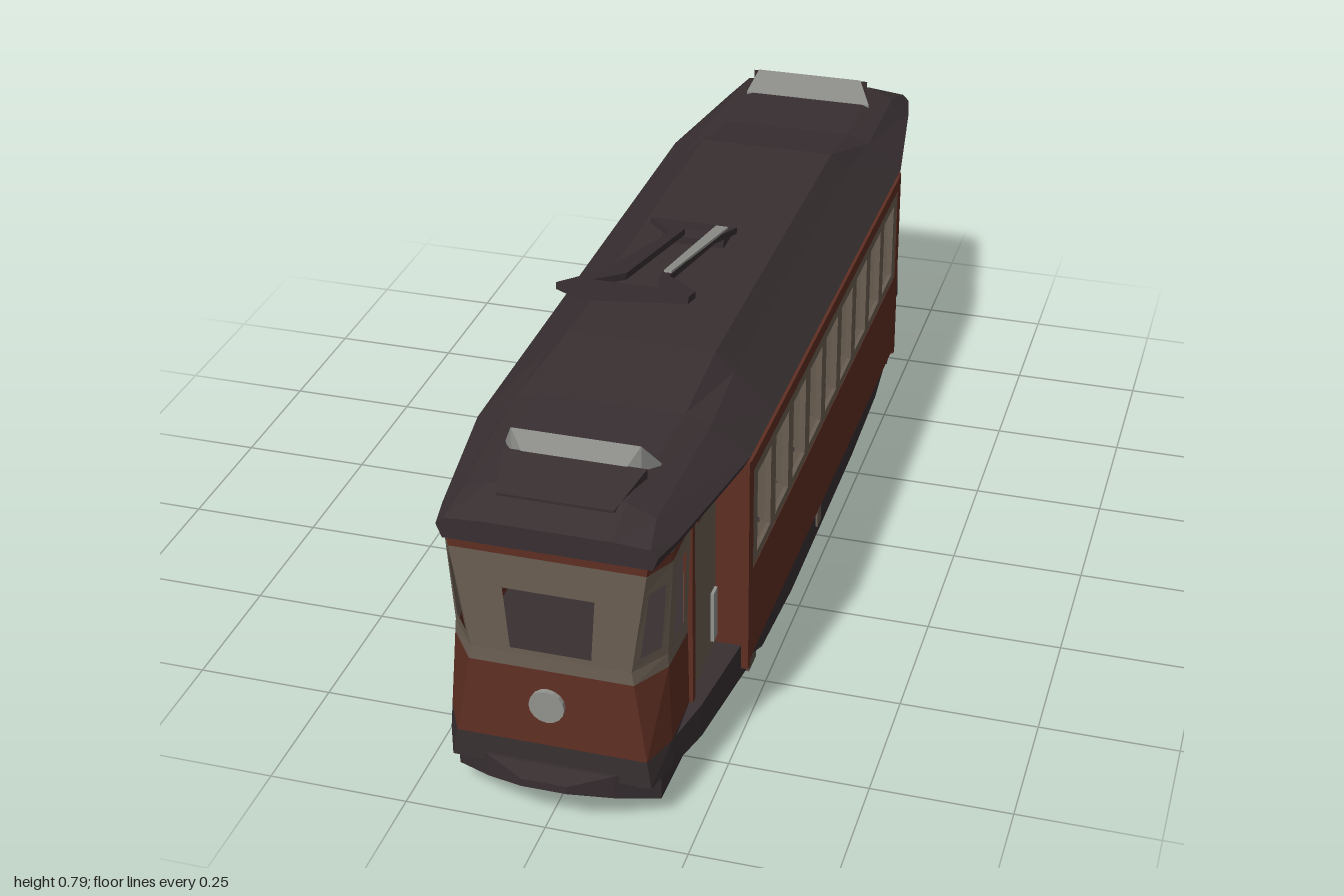
import * as THREE from 'three';

const mat = (name, color) => Object.assign(
  new THREE.MeshStandardMaterial({ color, flatShading: true, side: THREE.DoubleSide }), { name });
const mix = THREE.MathUtils.lerp;

export function createModel() {
  const tram = new THREE.Group();
  tram.name = 'tram';
  const dark = mat('dark roof', 0x382f31);
  const red = mat('rust red', 0x5e2e22);
  const beige = mat('dull beige', 0x6a5e52);
  const grey = mat('light grey', 0x93938f);
  const under = mat('underframe brown', 0x5a5046);

  function add(name, geometry, material) {
    const mesh = new THREE.Mesh(geometry, material);
    mesh.name = name;
    tram.add(mesh);
    return mesh;
  }

  function box(name, w, h, d, x, y, z, material) {
    const mesh = add(name, new THREE.BoxGeometry(w, h, d), material);
    mesh.position.set(x, y, z);
    return mesh;
  }

  function indexed(name, pos, idx, material) {
    const g = new THREE.BufferGeometry();
    g.setAttribute('position', new THREE.Float32BufferAttribute(pos, 3));
    g.setIndex(idx);
    g.computeVertexNormals();
    return add(name, g, material);
  }

  // Closed loft through rings [z, [[x, y], ...]], points anticlockwise seen from +z
  function loft(name, rings, material) {
    const sorted = [...rings].sort((a, b) => a[0] - b[0]);
    const n = sorted[0][1].length, pos = [], idx = [];
    for (const [z, pts] of sorted) for (const [x, y] of pts) pos.push(x, y, z);
    for (let i = 0; i < sorted.length - 1; i++) {
      for (let j = 0; j < n; j++) {
        const a = i * n + j, b = i * n + (j + 1) % n;
        idx.push(a, b, b + n, a, b + n, a + n);
      }
    }
    const last = (sorted.length - 1) * n;
    for (let j = 1; j < n - 1; j++) idx.push(0, j + 1, j, last, last + j, last + j + 1);
    return indexed(name, pos, idx, material);
  }

  // Roof: [z, edge half width, edge y, shoulder half width, shoulder y, top half width, top y]
  const roofHalf = [
    [0.947, 0.188, 0.54, 0.175, 0.553, 0.11, 0.557],
    [0.88, 0.202, 0.537, 0.165, 0.57, 0.115, 0.59],
    [0.6, 0.245, 0.535, 0.175, 0.585, 0.13, 0.6],
    [0.43, 0.245, 0.535, 0.17, 0.597, 0.135, 0.63],
  ];
  const roofRing = ([z, e, ey, m, my, t, ty]) => [z, [
    [-e + 0.01, 0.515], [e - 0.01, 0.515], [e, ey], [m, my], [t, ty], [-t, ty], [-m, my], [-e, ey]]];
  loft('roof', [...roofHalf, ...roofHalf.map(r => [-r[0], ...r.slice(1)])].map(roofRing), dark);

  // Saloon sides with nine windows each
  for (const s of [-1, 1]) {
    const x = s * 0.238;
    box('sidePanel', 0.014, 0.18, 1.2, x, 0.205, 0, red);
    box('sideTopRail', 0.014, 0.026, 1.2, x, 0.508, 0, red);
    box('windowSill', 0.012, 0.02, 1.16, x, 0.303, 0, beige);
    box('windowHeader', 0.012, 0.025, 1.16, x, 0.486, 0, beige);
    for (const z of [0.59, -0.59]) box('cornerPost', 0.014, 0.41, 0.024, x, 0.315, z, red);
    for (let i = 0; i <= 9; i++) {
      const z = -0.565 + i * 0.1255;
      box('windowPillar', 0.02, 0.17, 0.034, x - s * 0.004, 0.393, z, beige);
      if (i === 9) continue;
      // Folded reveals leaning into the saloon below and above each opening
      const a = z + 0.015, b = z + 0.11, k = i % 2 ? 0.02 : 0.07;
      indexed('windowReveal', [
        x, 0.312, a, x, 0.312, b, x - s * 0.06, 0.35, a + k,
        x, 0.475, a, x, 0.475, b, x - s * 0.05, 0.435, b - k,
        x, 0.312, b, x, 0.475, b, x - s * 0.05, 0.4, b - 0.035,
        x, 0.312, a, x, 0.475, a, x - s * 0.07, 0.37, a + 0.025,
      ], [...Array(12).keys()], beige);
    }
  }
  box('floor', 0.46, 0.02, 1.2, 0, 0.125, 0, dark);

  // Plan outline of an end at three heights: wide foot, pinched waist, wide top
  const outlines = [
    [0.09, [[-0.24, 0.6], [-0.205, 0.89], [-0.175, 0.96], [0.175, 0.96], [0.192, 0.89], [0.188, 0.77]]],
    [0.31, [[-0.242, 0.6], [-0.19, 0.88], [-0.138, 0.947], [0.14, 0.947], [0.182, 0.88], [0.185, 0.77]]],
    [0.52, [[-0.244, 0.6], [-0.2, 0.89], [-0.172, 0.945], [0.17, 0.945], [0.196, 0.89], [0.192, 0.77]]],
  ];
  function outlinePoint(panel, u, y) {
    const i = y < 0.31 ? 0 : 1;
    const [y0, lower] = outlines[i], [y1, upper] = outlines[i + 1];
    const t = (y - y0) / (y1 - y0);
    const at = (k, c) => mix(lower[k][c], upper[k][c], t);
    return [mix(at(panel, 0), at(panel + 1, 0), u), y, mix(at(panel, 1), at(panel + 1, 1), u)];
  }

  // Both ends
  for (const s of [1, -1]) {
    const patch = (name, panel, u0, u1, y0, y1, material) => indexed(name,
      [[u0, y0], [u1, y0], [u1, y1], [u0, y1]].flatMap(([u, y]) => {
        const [px, py, pz] = outlinePoint(panel, u, y);
        return [px, py, pz * s];
      }), s > 0 ? [0, 1, 2, 0, 2, 3] : [0, 2, 1, 0, 3, 2], material);

    // Window count, pillar share, opening bottom and top for each facet
    const facets = [[2, 0.16, 0.33, 0.455], [1, 0.2, 0.33, 0.46], [1, 0.25, 0.32, 0.435],
      [1, 0.2, 0.33, 0.46], [1, 0.26, 0.32, 0.465]];
    facets.forEach(([count, share, low, high], k) => {
      patch('endSkirt', k, 0, 1, 0.09, 0.14, dark);
      patch('endPanel', k, 0, 1, 0.14, 0.285, red);
      patch('endWaist', k, 0, 1, 0.285, 0.31, beige);
      patch('endSill', k, 0, 1, 0.31, low, beige);
      patch('endHeader', k, 0, 1, high, 0.5, beige);
      patch('endTopRail', k, 0, 1, 0.5, 0.52, red);
      for (let i = 0; i <= count; i++) {
        const u0 = Math.max(0, i / count - share), u1 = Math.min(1, i / count + share);
        patch('endPillar', k, u0, u1, low, high, beige);
      }
    });
    // Slanted brace inside the long side window
    const brace = box('windowBrace', 0.01, 0.17, 0.05, -0.19, 0.39, s * 0.72, beige);
    brace.rotation.x = s * 0.3;

    // Bulkhead, recessed door and its post
    box('doorBulkhead', 0.075, 0.425, 0.012, 0.2075, 0.3125, s * 0.6, red);
    box('door', 0.01, 0.36, 0.17, 0.18, 0.325, s * 0.685, beige);
    box('doorTopRail', 0.012, 0.025, 0.17, 0.195, 0.51, s * 0.685, red);
    box('doorPost', 0.016, 0.38, 0.016, 0.186, 0.315, s * 0.77, red);
    box('doorHandrail', 0.006, 0.1, 0.025, 0.188, 0.22, s * 0.625, grey);

    // Platform and fender
    const slab = (z, w, y0, y1) => [s * z, [[-w, y0], [w, y0], [w, y1], [-w, y1]]];
    loft('platform', [slab(0.58, 0.235, 0.08, 0.15), slab(0.78, 0.21, 0.075, 0.14),
      slab(0.88, 0.185, 0.075, 0.13), slab(0.945, 0.16, 0.075, 0.13)], dark);
    loft('fender', [slab(0.78, 0.19, 0.06, 0.1), slab(0.92, 0.18, 0.04, 0.1),
      slab(0.965, 0.11, 0.06, 0.105), slab(1, 0.04, 0.08, 0.095)], dark);
    box('platformUnderside', 0.38, 0.006, 0.19, 0, 0.073, s * 0.68, beige);
    const fenderPlate = box('fenderUnderside', 0.33, 0.006, 0.13, 0, 0.047, s * 0.85, beige);
    fenderPlate.rotation.x = s * 0.14;

    const lamp = add('headlamp', new THREE.CylinderGeometry(0.031, 0.031, 0.009, 16), grey);
    lamp.rotation.x = Math.PI / 2;
    lamp.position.set(-0.005, 0.22, s * 0.956);

    // Roof sign: dark hood outside, grey slope towards the middle
    loft('signHood', [slab(0.9, 0.1, 0.55, 0.585), slab(0.8, 0.125, 0.57, s > 0 ? 0.608 : 0.637)], dark);
    loft('signPanel', [slab(0.802, 0.09, 0.58, 0.606), slab(0.79, 0.112, 0.58, 0.643),
      slab(s > 0 ? 0.755 : 0.775, 0.135, 0.58, 0.595)], grey);

    // Wheel guards
    for (const x of [-0.19, 0.19]) box('wheelGuard', 0.06, 0.06, 0.05, x, 0.05, s * 0.48, under);
  }

  // Underframe skirt with a pale base plate following its belly
  const skirt = [[-0.62, 0.085], [-0.47, 0.03], [-0.25, 0.012], [0.25, 0.005], [0.47, 0.025], [0.6, 0.085]];
  loft('underframe', skirt.map(([z, y]) => [z,
    [[-0.2, y], [0.2, y], [0.235, y + 0.03], [0.235, 0.125], [-0.235, 0.125], [-0.235, y + 0.03]]]), dark);
  loft('underframePlate', skirt.map(([z, y]) => [z,
    [[-0.17, y - 0.004], [0.17, y - 0.004], [0.17, y + 0.002], [-0.17, y + 0.002]]]), beige);
  for (const s of [-1, 1]) {
    box('skirtTrim', 0.006, 0.02, 0.3, s * 0.236, 0.108, -0.22, beige);
    box('skirtTrim', 0.006, 0.012, 0.16, s * 0.236, 0.11, 0.3, beige);
    box('skirtBracket', 0.006, 0.045, 0.03, s * 0.236, 0.085, 0.05, beige);
  }

  // Current collector: a sloping frame hinged on the roof
  const poly = pts => pts.map(([x, y]) => new THREE.Vector2(x, y));
  const frame = new THREE.Shape(poly([[-0.12, 0], [0.05, 0], [0.035, 0.1], [0.04, 0.42],
    [0.11, 0.5], [0.11, 0.545], [-0.06, 0.61], [-0.12, 0.56], [-0.075, 0.44], [-0.05, 0.1]]));
  frame.holes.push(new THREE.Path(poly([[-0.035, 0.06], [-0.032, 0.44], [-0.07, 0.51],
    [0.045, 0.51], [0.022, 0.42], [0.015, 0.06]])));
  const arm = new THREE.Shape(poly([[0.014, 0.02], [0.038, 0.02], [0.038, 0.4], [0.024, 0.4]]));
  const collector = new THREE.Group();
  collector.name = 'currentCollector';
  const parts = [['collectorFrame', frame, 0.012, 0, dark], ['collectorArm', arm, 0.005, -0.004, grey]];
  for (const [name, shape, depth, z, material] of parts) {
    const mesh = add(name, new THREE.ExtrudeGeometry(shape, { depth, bevelEnabled: false }), material);
    mesh.position.z = z;
    collector.add(mesh);
  }
  collector.rotation.x = Math.PI / 2 - 0.235;
  collector.position.set(0, 0.647, -0.02);
  tram.add(collector);
  box('collectorBase', 0.12, 0.02, 0.06, -0.02, 0.635, 0.01, dark);

  return tram;
}
